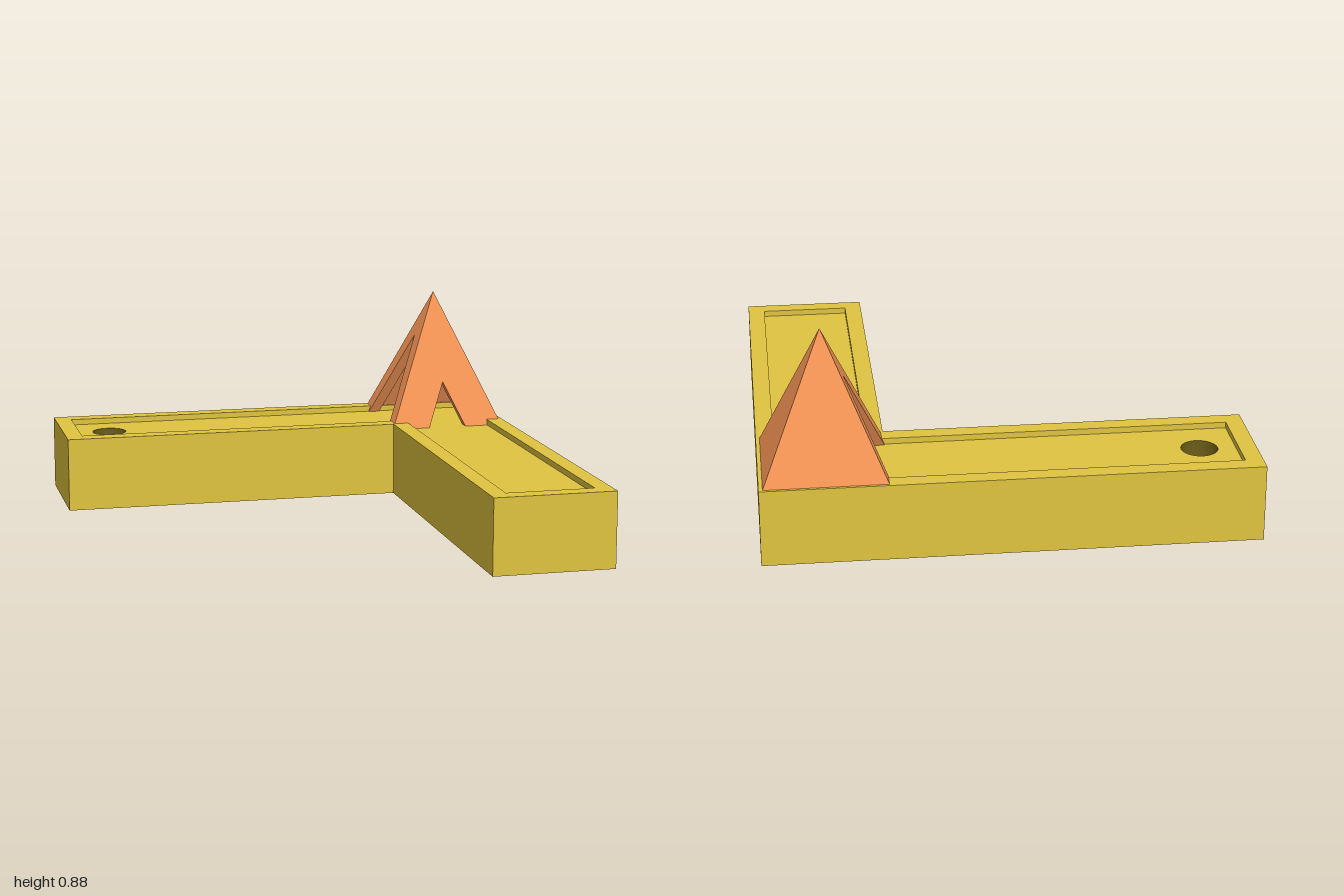
import * as THREE from 'three';
import { mergeGeometries } from 'three/addons/utils/BufferGeometryUtils.js';

const TOP = 0.32, FLOOR = 0.295, HOLE_FLOOR = 0.22;
const v2 = (x, z) => new THREE.Vector2(x, -z); // plan point, counter-clockwise from above

function fromTriangles(points) {
  const g = new THREE.BufferGeometry().setFromPoints(points);
  g.computeVertexNormals();
  return g;
}

// Horizontal face with optional holes
function cap(outline, y, holes = [], down = false) {
  const shape = new THREE.Shape(outline);
  shape.holes = holes.map((h) => new THREE.Path(h));
  const g = new THREE.ShapeGeometry(shape).rotateX(-Math.PI / 2).translate(0, y, 0);
  if (down) g.index.array.reverse();
  const flat = g.toNonIndexed();
  flat.deleteAttribute('uv');
  flat.computeVertexNormals();
  return flat;
}

// Vertical wall round an outline, facing out or in
function wall(outline, y0, y1, inward = false) {
  const loop = inward ? [...outline].reverse() : outline;
  const pts = [];
  loop.forEach((p, i) => {
    const q = loop[(i + 1) % loop.length];
    const at = (c, y) => new THREE.Vector3(c.x, y, -c.y);
    pts.push(at(p, y0), at(q, y0), at(q, y1), at(p, y0), at(q, y1), at(p, y1));
  });
  return fromTriangles(pts);
}

// L-shaped plan, inset by d
function lShape(d) {
  return [v2(-1 + d, -0.485 - d), v2(0.483 + d, -0.485 - d), v2(0.483 + d, 1 - d),
    v2(1 - d, 1 - d), v2(1 - d, -1 + d), v2(-1 + d, -1 + d)];
}

// One sloping side of the hollow pyramid, facing +z, with a triangular doorway
function pyramidSide(half, height, thick, doorHalf, doorHeight) {
  const slope = half / height;
  const ring = (t) => {
    const h = half - t;
    const uv = [[-h, 0]];
    if (doorHalf) uv.push([-doorHalf, 0], [0, doorHeight], [doorHalf, 0]);
    uv.push([h, 0], [0, h / slope]);
    return uv.map(([u, y]) => new THREE.Vector3(u, y, h - y * slope));
  };
  const outer = ring(0), inner = ring(thick);
  const pts = [];
  for (const [r, flip] of [[outer, false], [inner, true]]) {
    const faces = THREE.ShapeUtils.triangulateShape(r.map((p) => new THREE.Vector2(p.x, p.y)), []);
    for (const [a, b, c] of faces) pts.push(r[a], r[flip ? c : b], r[flip ? b : c]);
  }
  // Edges along the bottom and round the doorway
  for (let i = 0; i < outer.length - 2; i++) {
    pts.push(outer[i], inner[i], inner[i + 1], outer[i], inner[i + 1], outer[i + 1]);
  }
  return fromTriangles(pts);
}

export function createModel() {
  const model = new THREE.Group();
  const yellow = new THREE.MeshStandardMaterial({ color: 0xe0c440, flatShading: true });
  const dark = new THREE.MeshStandardMaterial({ color: 0x6b5d16, flatShading: true });
  const orange = new THREE.MeshStandardMaterial({ color: 0xf39455, flatShading: true, side: THREE.DoubleSide });
  const add = (name, geometry, material, parent = model) => {
    const mesh = new THREE.Mesh(geometry, material);
    mesh.name = name;
    parent.add(mesh);
    return mesh;
  };

  // L-shaped tray with a shallow recess and a round hole
  const outline = lShape(0), recess = lShape(0.072);
  const hole = Array.from({ length: 32 }, (_, i) => {
    const a = (i / 32) * Math.PI * 2;
    return new THREE.Vector2(-0.78 + 0.075 * Math.cos(a), 0.743 + 0.075 * Math.sin(a));
  });
  add('base', mergeGeometries([
    cap(outline, 0, [], true),
    wall(outline, 0, TOP),
    cap(outline, TOP, [recess]),
    wall(recess, FLOOR, TOP, true),
    cap(recess, FLOOR, [hole]),
  ]), yellow);
  add('hole', mergeGeometries([
    wall(hole, HOLE_FLOOR, FLOOR, true),
    cap(hole, HOLE_FLOOR),
  ]), dark);

  // Hollow corner pyramid with a small front doorway and a large one on the long arm
  const pyramid = new THREE.Group();
  pyramid.name = 'pyramid';
  pyramid.position.set(0.738, FLOOR, -0.742);
  model.add(pyramid);
  const sides = [
    ['frontSide', 0.085, 0.195], ['leftSide', 0, 0],
    ['backSide', 0, 0], ['rightSide', 0.176, 0.39],
  ];
  sides.forEach(([name, doorHalf, doorHeight], i) => {
    const mesh = add(name, pyramidSide(0.257, 0.59, 0.05, doorHalf, doorHeight), orange, pyramid);
    mesh.rotation.y = (i * Math.PI) / 2;
  });
  return model;
}
